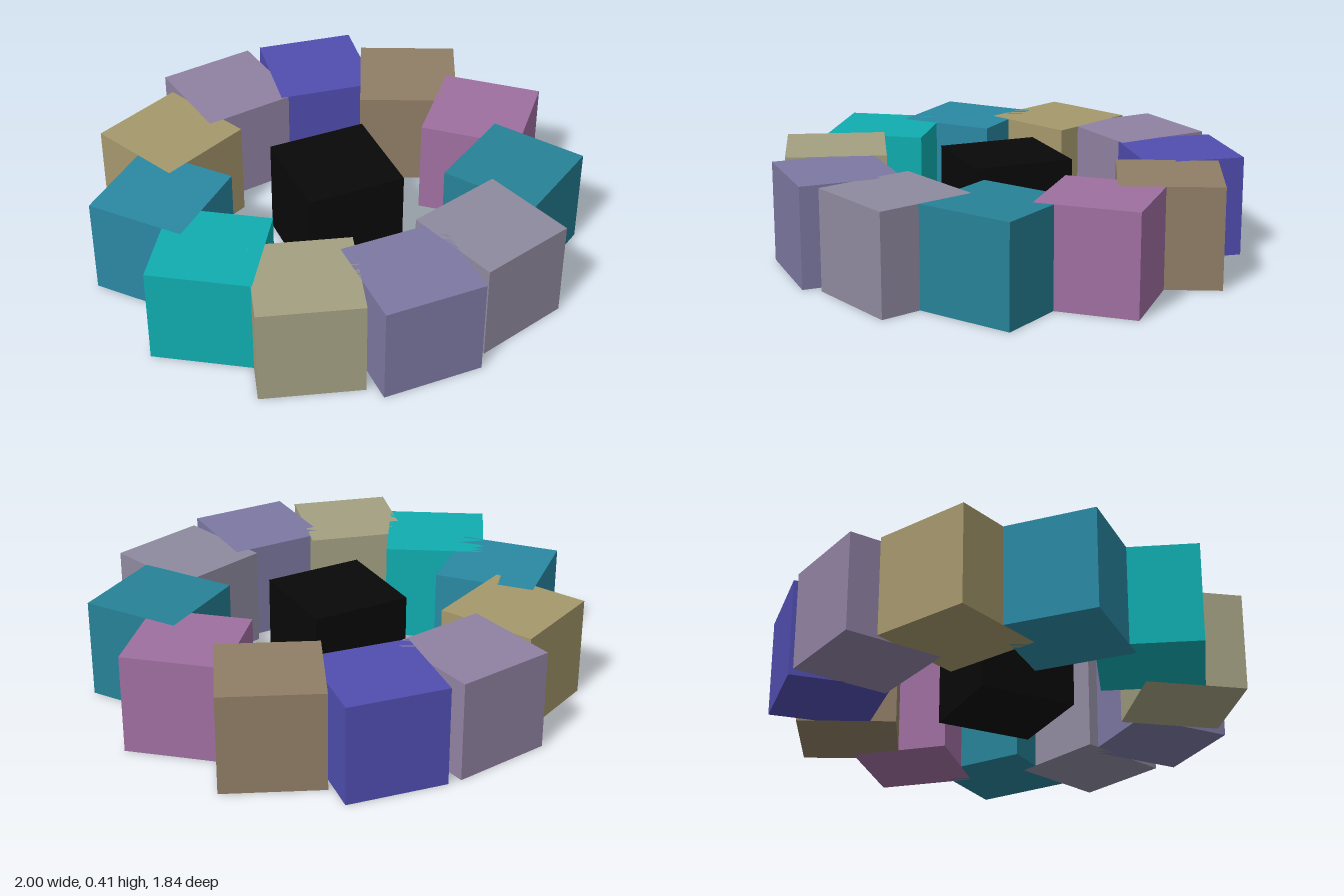
import * as THREE from 'three';

const SIZE = 0.41;
const RADIUS = 0.717;

// Ring colours, counter-clockwise from the front cube towards +x
const RING_COLORS = [
  0x7c78a2, 0x8f8a9f, 0x268296, 0x9f6fa0, 0x907e66, 0x504eb0,
  0x9082a2, 0xa5986c, 0x2a88a3, 0x10adb0, 0xa3a082,
];

export function createModel() {
  const model = new THREE.Group();
  model.name = 'cubeRing';
  const cube = new THREE.BoxGeometry(SIZE, SIZE, SIZE);

  function addCube(name, color, x, z, turn) {
    const mesh = new THREE.Mesh(cube, new THREE.MeshStandardMaterial({ color }));
    mesh.name = name;
    mesh.position.set(x, SIZE / 2, z);
    mesh.rotation.y = turn;
    model.add(mesh);
  }

  // Dark cube in the middle
  addCube('centreCube', 0x080808, 0, 0, 0);

  // Each ring cube turns by half its angle around the ring
  RING_COLORS.forEach((color, i) => {
    const a = (i / RING_COLORS.length) * Math.PI * 2;
    addCube(`ringCube${i + 1}`, color, RADIUS * Math.sin(a), RADIUS * Math.cos(a), a / 2);
  });

  return model;
}
